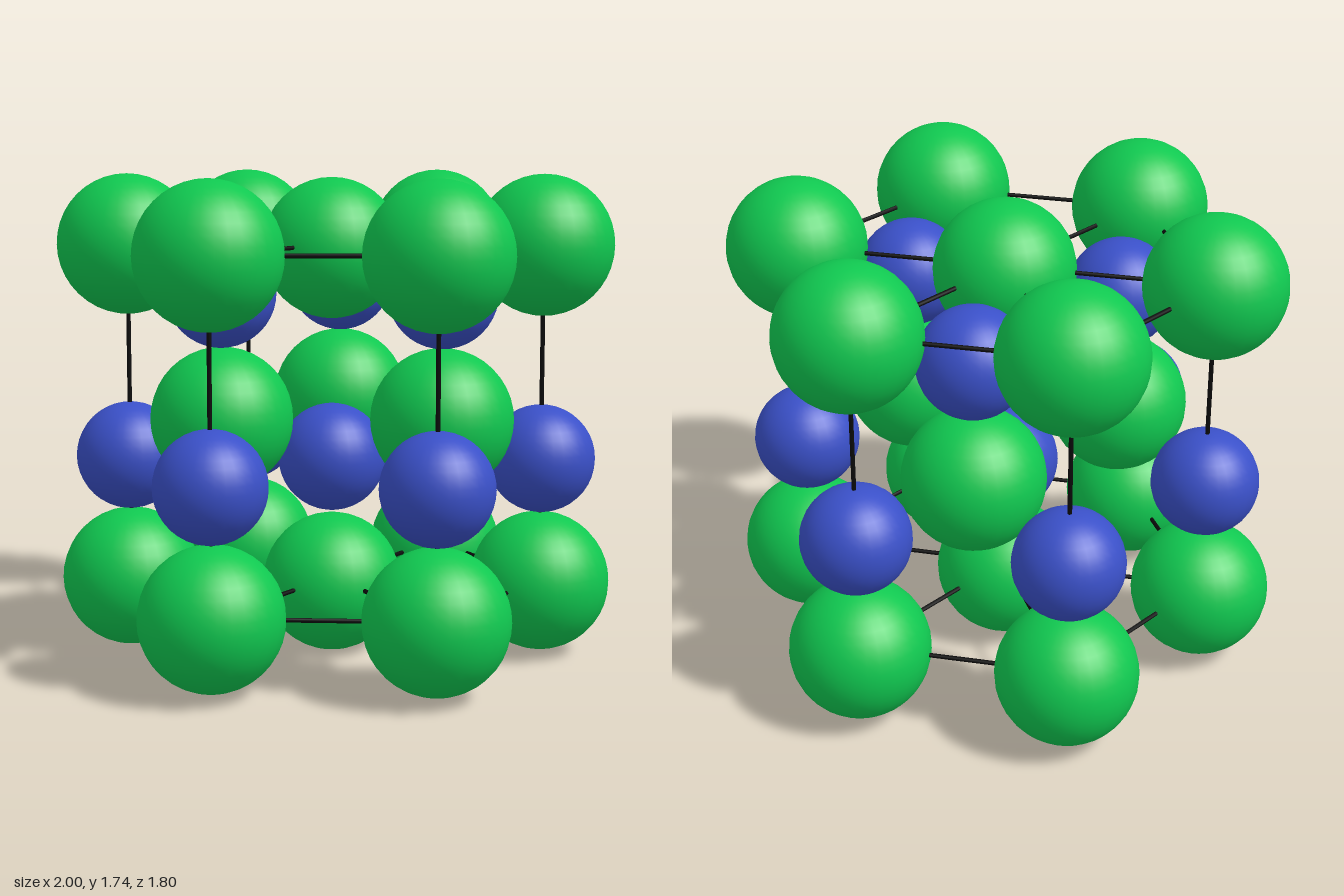
import * as THREE from 'three';

const GREEN_R = 0.252, BLUE_R = 0.195, ROD_R = 0.008;
const BOTTOM_Y = 0.27, TOP_Y = 1.49, LOW_BLUE_Y = 0.72, MID_GREEN_Y = 0.89, HIGH_BLUE_Y = 1.335;

// Hexagon corners in order [x, z], then the centre
const RING = [[0.745, 0], [0.375, 0.645], [-0.38, 0.645], [-0.75, 0.005], [-0.38, -0.638], [0.36, -0.65]];
const CENTRE = [-0.012, 0.003];
// Sites of the inner triangle
const INNER = [[0.387, 0.22], [-0.388, 0.22], [-0.005, -0.44]];

export function createModel() {
  const model = new THREE.Group();
  model.name = 'crystalLattice';

  const green = new THREE.MeshStandardMaterial({ color: 0x10c850 });
  const blue = new THREE.MeshStandardMaterial({ color: 0x3a50c8 });
  const black = new THREE.MeshStandardMaterial({ color: 0x0a0a0a });
  const greenGeo = new THREE.SphereGeometry(GREEN_R, 32, 20);
  const blueGeo = new THREE.SphereGeometry(BLUE_R, 32, 20);
  const rodGeo = new THREE.CylinderGeometry(ROD_R, ROD_R, 1, 8);
  const up = new THREE.Vector3(0, 1, 0);

  const at = ([x, z], y) => new THREE.Vector3(x, y, z);

  function addGroup(name) {
    const group = new THREE.Group();
    group.name = name;
    model.add(group);
    return group;
  }

  function addAtoms(name, sites, y, geometry, material) {
    const group = addGroup(name);
    for (const site of sites) {
      const atom = new THREE.Mesh(geometry, material);
      atom.name = name + 'Atom';
      atom.position.copy(at(site, y));
      group.add(atom);
    }
    return group;
  }

  function addRod(group, name, a, b) {
    const rod = new THREE.Mesh(rodGeo, black);
    const span = b.clone().sub(a);
    rod.name = name;
    rod.position.copy(a).add(b).multiplyScalar(0.5);
    rod.scale.y = span.length();
    rod.quaternion.setFromUnitVectors(up, span.normalize());
    group.add(rod);
  }

  // Five layers of atoms; the centre atoms of the outer layers sit slightly low
  for (const [name, y] of [['bottomGreen', BOTTOM_Y], ['topGreen', TOP_Y]]) {
    const layer = addAtoms(name, [...RING, CENTRE], y, greenGeo, green);
    layer.children[6].position.y -= 0.012;
  }
  addAtoms('lowerBlue', [...RING, CENTRE], LOW_BLUE_Y, blueGeo, blue);
  addAtoms('middleGreen', INNER, MID_GREEN_Y, greenGeo, green);
  addAtoms('upperBlue', INNER, HIGH_BLUE_Y, blueGeo, blue);

  // Rim and spoke rods in the bottom and top layers
  for (const [name, y] of [['bottomRods', BOTTOM_Y], ['topRods', TOP_Y]]) {
    const group = addGroup(name);
    RING.forEach((site, i) => {
      addRod(group, 'rimRod', at(site, y), at(RING[(i + 1) % 6], y));
      addRod(group, 'spokeRod', at(CENTRE, y), at(site, y));
    });
  }

  // Upright rods at the hexagon corners
  const uprights = addGroup('uprightRods');
  for (const site of RING) addRod(uprights, 'uprightRod', at(site, BOTTOM_Y), at(site, TOP_Y));

  return model;
}
